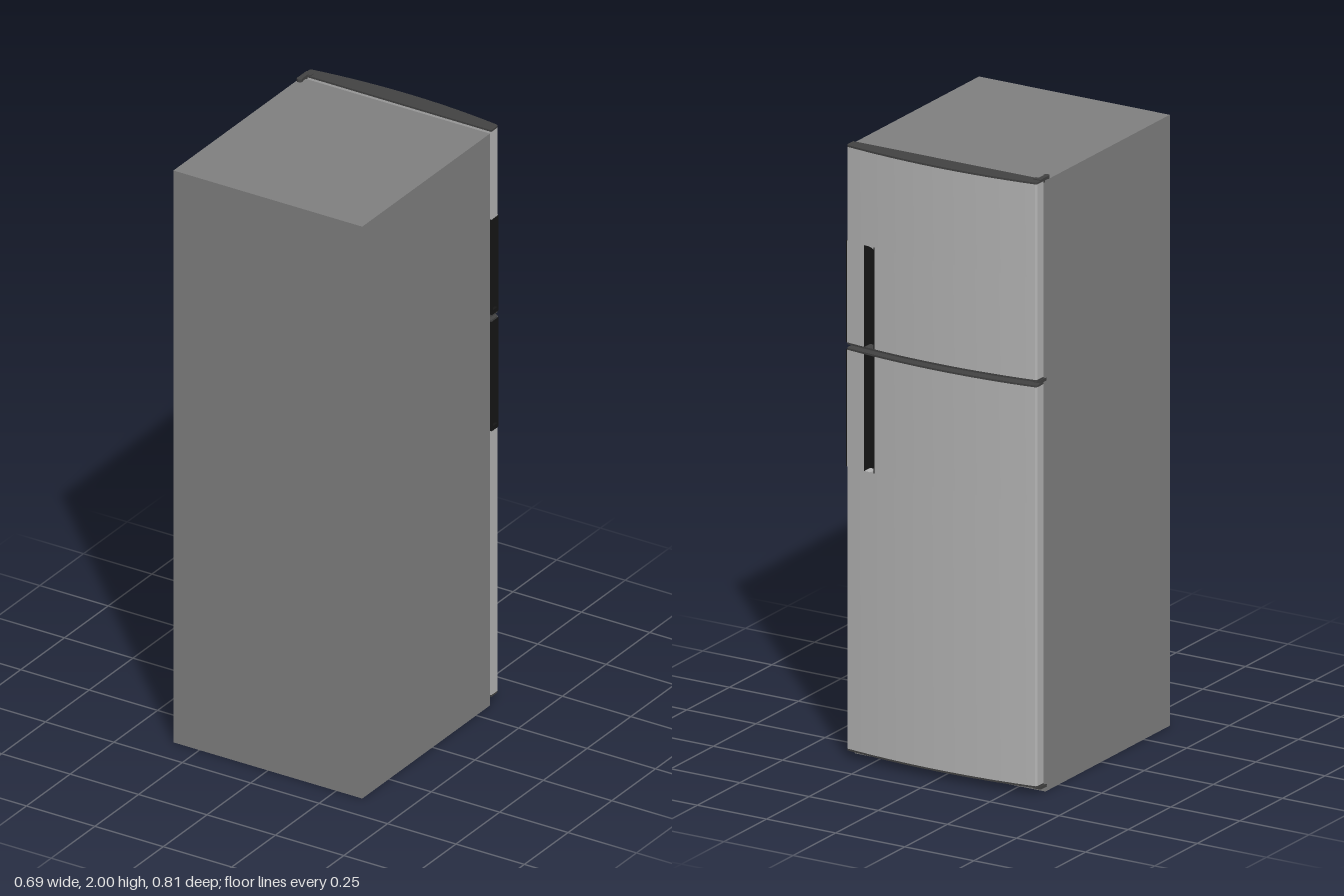
import * as THREE from 'three';
import { toCreasedNormals } from 'three/addons/utils/BufferGeometryUtils.js';

const mat = (color) => new THREE.MeshStandardMaterial({ color });

const HALF = 0.344;        // half width of the doors
const BACK = 0.338;        // distance of the door backs behind the centre
const GROOVE = [0.235, 0.275]; // x range of the grip groove
const FLOOR = 0.352;       // depth of the groove floor

// bowed door face, measured towards -z
const bow = (x) => 0.403 - 0.025 * (x / HALF) ** 2;

// plan shape (x, -z) of a door, optionally cut for the grip
function doorShape(withGrip) {
  const r = 0.005, pts = [[-HALF, BACK]];
  if (withGrip) pts.push([0.335, BACK], [0.335, 0.375], [HALF, 0.375]);
  else pts.push([HALF, BACK], [HALF, bow(HALF) - r]);
  const arc = (a, b, n) => {
    for (let i = 0; i <= n; i++) {
      const x = a + (b - a) * i / n;
      pts.push([x, bow(x)]);
    }
  };
  if (withGrip) {
    arc(HALF - 0.002, GROOVE[1], 6);
    pts.push([GROOVE[1], FLOOR], [GROOVE[0], FLOOR]);
    arc(GROOVE[0], -HALF + r, 28);
  } else arc(HALF - r, -HALF + r, 36);
  pts.push([-HALF, bow(HALF) - r]);
  return new THREE.Shape(pts.map(([x, s]) => new THREE.Vector2(x, s)));
}

// extrude a plan shape upwards from y0 to y1
function upright(shape, y0, y1) {
  const g = new THREE.ExtrudeGeometry(shape, { depth: y1 - y0, bevelEnabled: false });
  g.rotateX(-Math.PI / 2).translate(0, y0, 0);
  return toCreasedNormals(g, 0.4);
}

function rectPath(Type, x0, y0, x1, y1) {
  return new Type([[x0, y0], [x1, y0], [x1, y1], [x0, y1]].map(([x, y]) => new THREE.Vector2(x, y)));
}

export function createModel() {
  const model = new THREE.Group();
  model.name = 'refrigerator';
  const cabinetMat = mat(0x808080), steel = mat(0xb4b4b4), trim = mat(0x424242), black = mat(0x161616);

  const add = (parent, name, geometry, material) => {
    const m = new THREE.Mesh(geometry, material);
    m.name = name;
    parent.add(m);
    return m;
  };
  // box given by its limits
  const box = (parent, name, material, x0, x1, y0, y1, z0, z1) => {
    const m = add(parent, name, new THREE.BoxGeometry(x1 - x0, y1 - y0, z1 - z0), material);
    m.position.set((x0 + x1) / 2, (y0 + y1) / 2, (z0 + z1) / 2);
    return m;
  };

  box(model, 'cabinet', cabinetMat, -0.345, 0.345, 0, 1.99, -0.328, 0.402);

  // one door: y limits, grip limits, and whether the grip meets the door's top
  function door(name, y0, y1, g0, g1, gripAtTop) {
    const d = new THREE.Group();
    d.name = name;
    model.add(d);
    const cap = 0.006;
    const plain = doorShape(false);
    add(d, 'bottomCap', upright(plain, y0, y0 + cap), trim);
    add(d, 'topCap', upright(plain, y1 - cap, y1), trim);
    add(d, 'gripPanel', upright(doorShape(true), g0, g1), steel);
    if (gripAtTop) add(d, 'panel', upright(plain, y0 + cap, g0), steel);
    else add(d, 'panel', upright(plain, g1, y1 - cap), steel);
    box(d, 'gasket', trim, -0.336, 0.336, y0 + 0.02, y1 - 0.015, -BACK - 0.001, -0.326);

    // dark lining of the groove
    const [a, b] = GROOVE, t = 0.002;
    const lining = [[a, FLOOR], [b, FLOOR], [b, bow(b)], [b - t, bow(b)],
      [b - t, FLOOR + t], [a + t, FLOOR + t], [a + t, bow(a)], [a, bow(a)]];
    add(d, 'gripLining', upright(new THREE.Shape(lining.map((p) => new THREE.Vector2(...p))), g0, g1), black);

    // rounded inner corner at the closed end of the groove
    const r = 0.022;
    const corner = new THREE.Shape();
    corner.moveTo(0, 0);
    corner.lineTo(0, -r);
    corner.quadraticCurveTo(0, 0, r, 0);
    const fillet = add(d, 'gripCorner',
      new THREE.ExtrudeGeometry(corner, { depth: 0.037, bevelEnabled: false, curveSegments: 8 }), steel);
    fillet.position.set(a, gripAtTop ? g0 : g1, -0.3905);
    fillet.scale.y = gripAtTop ? -1 : 1;

    // dark finger pocket on the side edge
    box(d, 'pocketBack', black, 0.334, 0.337, g0, g1, -0.375, -BACK);
    const frame = rectPath(THREE.Shape, BACK, g0, 0.376, g1);
    frame.holes.push(rectPath(THREE.Path, 0.345, g0 + 0.015, 0.369, g1 - 0.015));
    const frameGeo = new THREE.ExtrudeGeometry(frame, { depth: 0.011, bevelEnabled: false });
    add(d, 'pocketFrame', frameGeo.rotateY(Math.PI / 2).translate(0.335, 0, 0), black);
  }
  door('freezerDoor', 1.348, 1.997, 1.354, 1.685, false);
  door('fridgeDoor', 0.025, 1.336, 0.95, 1.33, true);

  // hinges on the model's right edge
  const top = new THREE.Group();
  top.name = 'topHinge';
  model.add(top);
  box(top, 'hingeArm', trim, -0.344, -0.328, 1.985, 2, -0.355, -0.305);
  box(top, 'hingePlate', trim, -0.344, -0.317, 1.99, 2, -0.356, -0.34);
  const knob = add(top, 'hingeKnob', new THREE.CylinderGeometry(0.0095, 0.0095, 0.012, 20), trim);
  knob.position.set(-0.3355, 1.994, -0.306);
  for (const [name, y] of [['middleHinge', 1.342], ['bottomHinge', 0.019]]) {
    box(model, name, trim, -0.345, -0.318, y - 0.005, y + 0.005, -0.356, -0.32);
  }
  return model;
}
